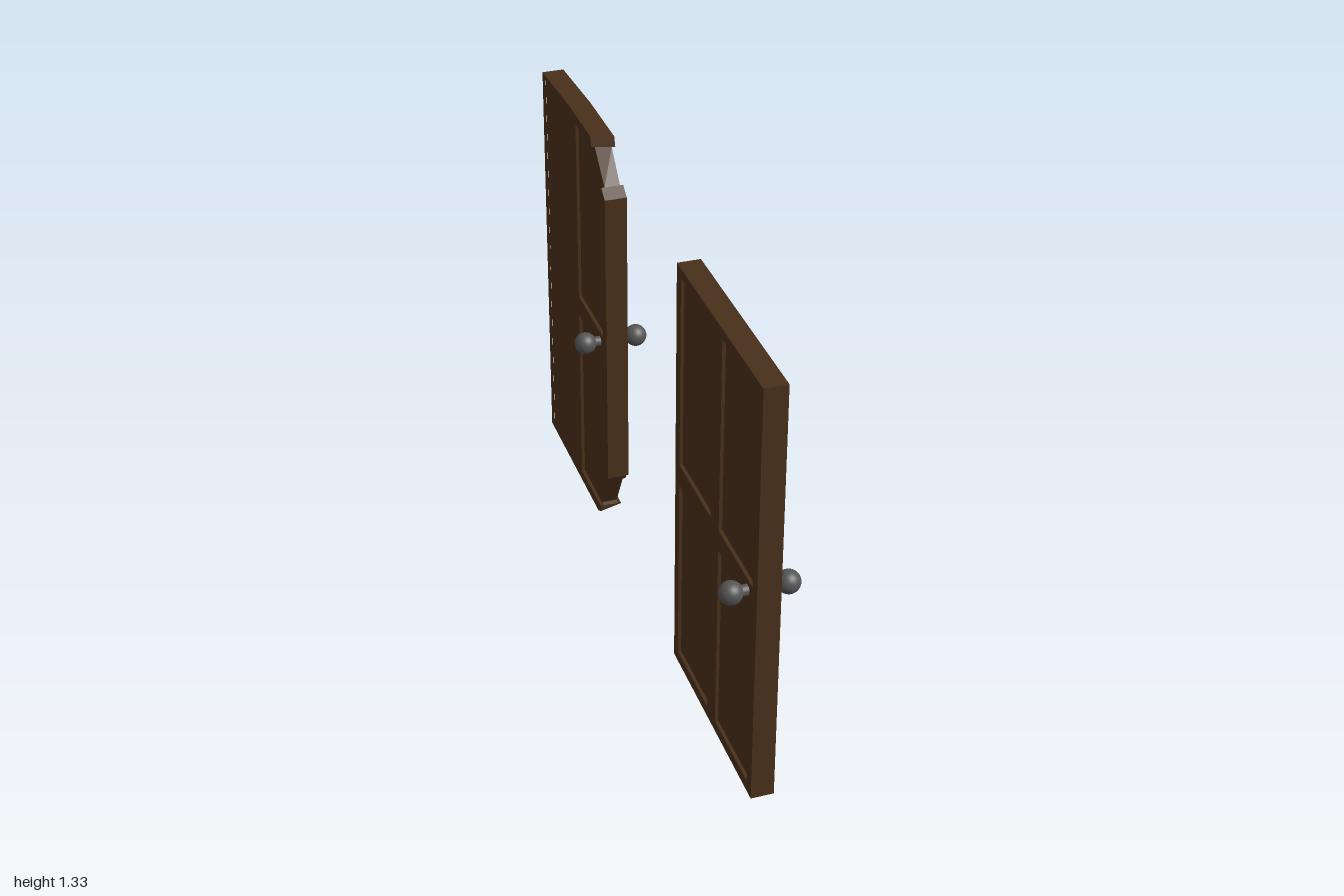
import * as THREE from 'three';

const WIDTH = 0.667, HEIGHT = 1.333, HALF = 0.034, RECESS = 0.01;
const COLS = [[0.035, 0.30], [0.367, 0.632]];
const ROWS = [[0.035, 0.635], [0.703, 1.303]];
const wood = new THREE.MeshStandardMaterial({ color: 0x49301a });
const metal = new THREE.MeshStandardMaterial({ color: 0x555555 });

const toShape = (pts) => new THREE.Shape(pts.map(([t, y]) => new THREE.Vector2(t, y)));

function panelHole(c, r) {
  const [t0, t1] = COLS[c], [y0, y1] = ROWS[r];
  return new THREE.Path([[t0, y0], [t0, y1], [t1, y1], [t1, y0]].map(([t, y]) => new THREE.Vector2(t, y)));
}

// Extrude an outline (distance from the knob edge, height) through the thickness, x0 to x1
function slab(name, shape, x0, x1, bend) {
  const geo = new THREE.ExtrudeGeometry(shape, { depth: x1 - x0, bevelEnabled: false });
  geo.translate(0, 0, x0).rotateY(Math.PI / 2);
  if (bend) {
    const p = geo.attributes.position;
    for (let i = 0; i < p.count; i++) bend(p, i);
    geo.computeVertexNormals();
  }
  const mesh = new THREE.Mesh(geo, wood);
  mesh.name = name;
  return mesh;
}

// A pair of ball knobs on short stems
function knobs() {
  const group = new THREE.Group();
  group.name = 'knobs';
  for (const s of [1, -1]) {
    const stem = new THREE.Mesh(new THREE.CylinderGeometry(0.016, 0.016, 0.055, 20), metal);
    stem.rotation.z = Math.PI / 2;
    stem.position.x = s * 0.055;
    stem.name = 'knobStem';
    const ball = new THREE.Mesh(new THREE.SphereGeometry(0.034, 28, 18), metal);
    ball.position.x = s * 0.081;
    ball.name = 'knobBall';
    group.add(stem, ball);
  }
  group.position.set(0, 0.67, -0.07);
  return group;
}

// A thin core with a raised frame on each side leaves four sunken panels
function door(name, coreOutline, frameOutline, holes, bend) {
  const group = new THREE.Group();
  group.name = name;
  const frame = toShape(frameOutline);
  frame.holes = holes.map(([c, r]) => panelHole(c, r));
  const inner = HALF - RECESS;
  group.add(
    slab('panelCore', toShape(coreOutline), -inner, inner, bend),
    slab('frameLeft', frame, inner, HALF, bend),
    slab('frameRight', frame, -HALF, -inner, bend),
    knobs());
  return group;
}

export function createModel() {
  const model = new THREE.Group();
  model.name = 'doors';

  // Whole door
  const rect = [[0, 0], [WIDTH, 0], [WIDTH, HEIGHT], [0, HEIGHT]];
  const whole = door('wholeDoor', rect, rect, [[0, 0], [0, 1], [1, 0], [1, 1]]);
  whole.position.z = 1;

  // Broken door: both knob-side corners snapped off, biting into the panels
  const top = [[0.122, HEIGHT], [0.37, HEIGHT], [WIDTH, 1.315]];
  const bottom = [[WIDTH, 0], [0.27, 0], [0.115, 0], [0.087, 0.015], [0.087, 0.035]];
  const edge = [[0.022, 0.185], [0, 0.2], [0, 1.19], [0.035, 1.215]];
  const [t0, t1] = COLS[0];
  const core = [...bottom, [0.1, 0.04], ...edge, [0.112, 1.303], ...top];
  const frame = [
    ...bottom, [t1, ROWS[0][0]], [t1, ROWS[0][1]], [t0, ROWS[0][1]], [t0, 0.165],
    ...edge, [t0, ROWS[1][0]], [t1, ROWS[1][0]], [t1, ROWS[1][1]], [0.112, 1.303], ...top];

  // Breaks run slightly askew through the thickness
  const askew = (p, i) => {
    const x = p.getX(i), y = p.getY(i), z = p.getZ(i);
    if (y > 1.25 && z > -0.13) p.setZ(i, z + 0.3 * (x - HALF));
    if (y < 0.03 && z > -0.2) p.setY(i, y + 0.25 * (x + HALF));
  };
  const broken = door('brokenDoor', core, frame, [[1, 0], [1, 1]], askew);
  broken.position.z = -0.333;

  model.add(whole, broken);
  return model;
}
